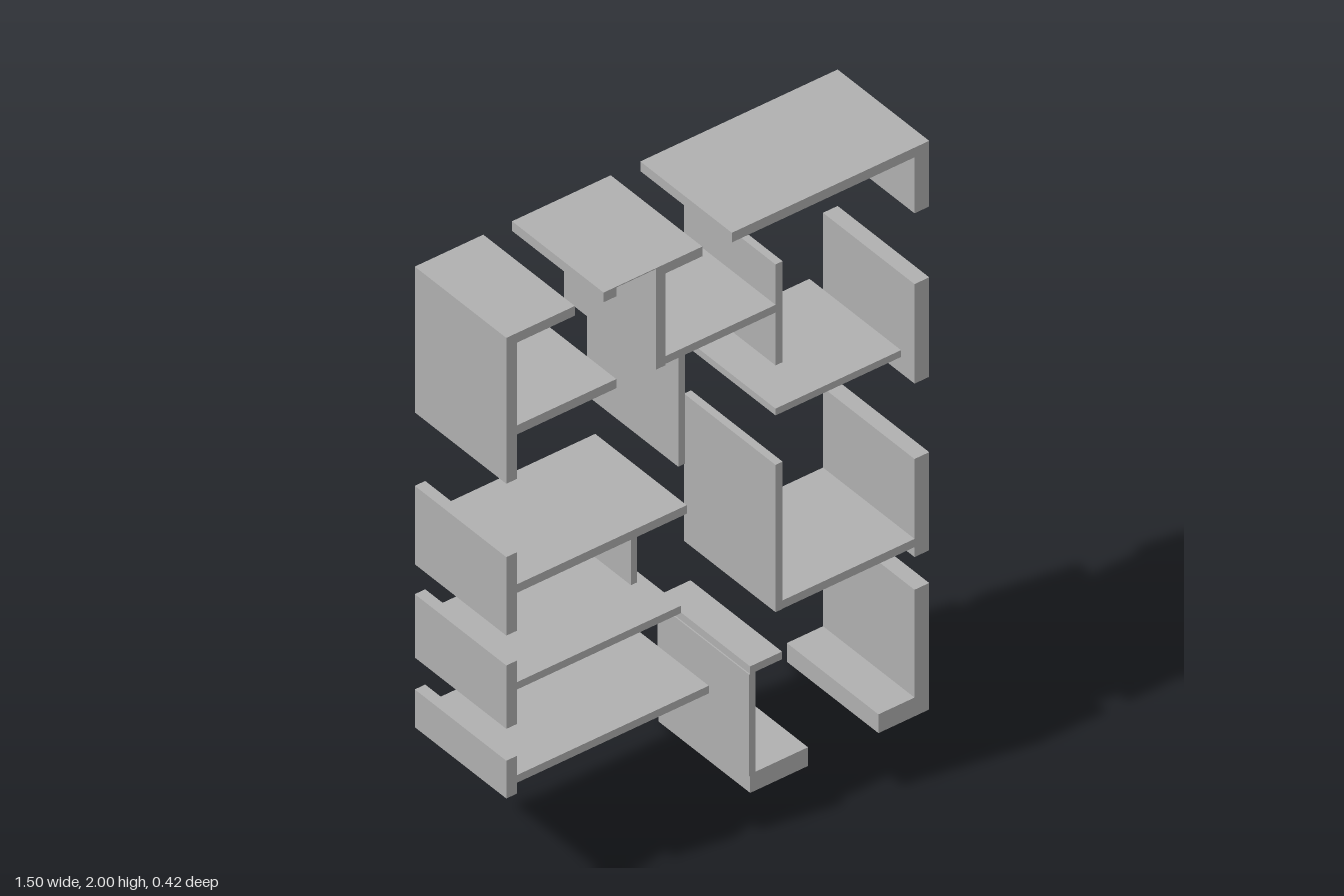
import * as THREE from 'three';

const DEPTH = 0.42;

export function createModel() {
  const model = new THREE.Group();
  model.name = 'floorPlanWalls';
  const wallGrey = new THREE.MeshStandardMaterial({ color: 0xb0b0b0 });
  wallGrey.name = 'wallGrey';

  // One straight wall, given by its extents in x and y
  const wall = (name, x0, x1, y0, y1) => {
    const mesh = new THREE.Mesh(new THREE.BoxGeometry(x1 - x0, y1 - y0, DEPTH), wallGrey);
    mesh.position.set((x0 + x1) / 2, (y0 + y1) / 2, 0);
    mesh.name = name;
    model.add(mesh);
  };

  // Outer walls on both sides, broken by openings
  for (const [y0, y1] of [[1.487, 2], [0.953, 1.229], [0.625, 0.848], [0.38, 0.513]])
    wall('rightOuterWall', -0.75, -0.713, y0, y1);
  for (const [y0, y1] of [[1.769, 2], [1.17, 1.52], [0.56, 0.905], [0, 0.445]])
    wall('leftOuterWall', 0.698, 0.75, y0, y1);

  // Top outer wall, with a thin lintel over one opening
  for (const [x0, x1] of [[-0.713, -0.507], [-0.405, -0.36], [-0.185, -0.055], [0.05, 0.698]])
    wall('topOuterWall', x0, x1, 1.966, 2);
  wall('topLintel', -0.36, -0.22, 1.997, 2);

  // Bottom outer wall
  wall('bottomOuterWall', 0.115, 0.32, 0, 0.066);
  wall('bottomOuterWall', 0.57, 0.698, 0, 0.066);

  // Inner walls that run across
  for (const [x0, x1, y0, y1] of [
    [-0.713, -0.36, 1.643, 1.675],
    [-0.185, 0.205, 1.648, 1.675],
    [0.205, 0.65, 1.286, 1.31],
    [-0.713, -0.11, 1.086, 1.116],
    [-0.713, -0.13, 0.746, 0.772],
    [-0.713, -0.032, 0.418, 0.445],
    [0.23, 0.698, 0.595, 0.624],
    [0.115, 0.228, 0.418, 0.445],
  ]) wall('crossWall', x0, x1, y0, y1);

  // Inner walls that run upright
  for (const [x0, x1, y0, y1] of [
    [-0.22, -0.185, 1.643, 2],
    [0.205, 0.23, 1.462, 1.817],
    [-0.14, -0.116, 1.265, 1.648],
    [-0.308, -0.286, 0.926, 1.086],
    [0.205, 0.23, 0.594, 1.112],
    [0.111, 0.133, 0.06, 0.418],
  ]) wall('uprightWall', x0, x1, y0, y1);

  return model;
}
